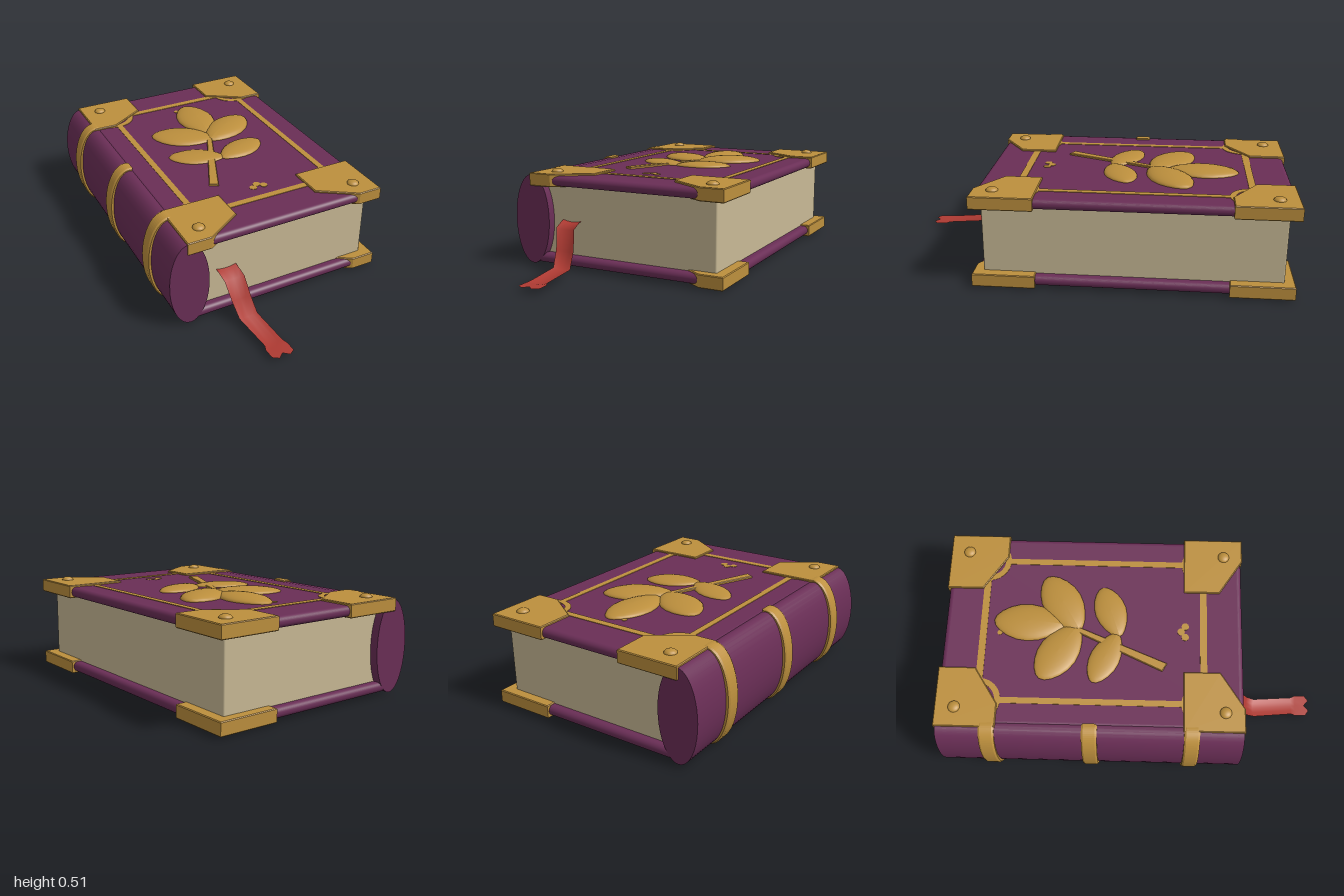
import * as THREE from 'three';
import { RoundedBoxGeometry } from 'three/addons/geometries/RoundedBoxGeometry.js';

const mat = (name, color) => {
  const m = new THREE.MeshStandardMaterial({ color });
  m.name = name;
  return m;
};

export function createModel() {
  const book = new THREE.Group();
  book.name = 'book';
  const purple = mat('purple leather', 0x6a2e56);
  const gold = mat('gold', 0xbc8f3d);
  const paper = mat('paper', 0xc8b995);
  const red = mat('red ribbon', 0xae3a32);
  red.side = THREE.DoubleSide;

  const add = (name, geometry, material, x = 0, y = 0, z = 0) => {
    const mesh = new THREE.Mesh(geometry, material);
    mesh.name = name;
    mesh.position.set(x, y, z);
    book.add(mesh);
    return mesh;
  };
  // Flat shape given as [x, z] points, raised from y = 0 to h
  const slab = (points, h, bevel = 0) => {
    const shape = new THREE.Shape(points.map(([x, z]) => new THREE.Vector2(x, -z)));
    const geo = new THREE.ExtrudeGeometry(shape, {
      depth: h - 2 * bevel, bevelEnabled: bevel > 0, bevelSize: bevel,
      bevelThickness: bevel, bevelOffset: -bevel, bevelSegments: 1,
    });
    return geo.rotateX(-Math.PI / 2).translate(0, bevel, 0);
  };

  const midX = 0.055, midZ = -0.208;

  // Covers and page block
  for (const [name, y] of [['topCover', 0.45], ['bottomCover', 0.045]]) {
    add(name, new RoundedBoxGeometry(1.06, 0.052, 1.566, 4, 0.025), purple, midX, y, midZ);
  }
  add('pageBlock', new RoundedBoxGeometry(0.99, 0.37, 1.48, 2, 0.008), paper, 0.045, 0.247, -0.21);

  // Oval spine with raised bands
  const spine = new THREE.CylinderGeometry(1, 1, 1.566, 40).rotateX(Math.PI / 2).scale(0.104, 0.232, 1);
  add('spine', spine, purple, -0.478, 0.245, midZ);

  const band = new THREE.Shape();
  band.absellipse(0, 0, 0.122, 0.243, Math.PI * 0.44, Math.PI * 1.56, false, 0);
  band.absellipse(0, 0, 0.098, 0.225, Math.PI * 1.56, Math.PI * 0.44, true, 0);
  const bandGeo = new THREE.ExtrudeGeometry(band, {
    depth: 0.06, bevelEnabled: true, bevelSize: 0.006, bevelThickness: 0.01,
    bevelOffset: -0.006, bevelSegments: 1, curveSegments: 24,
  }).translate(0, 0, -0.03);
  for (const z of [-0.73, -0.21, 0.31]) add('spineBand', bandGeo, gold, -0.478, 0.245, z);

  // Corner guards: outer corner at the origin, one inner corner cut off
  const guard = (side) => slab(
    [[0, 0], [0, 0.315], [-0.125, 0.315], [-0.315, 0.19], [-0.315, 0]].map(([x, z]) => [x * side, z]),
    0.067, 0.004);
  const rivetGeo = new THREE.SphereGeometry(0.031, 16, 8, 0, Math.PI * 2, 0, Math.PI / 2).scale(1, 0.6, 1);
  for (const z of [-1, 0.266]) {
    for (const [side, x] of [[1, 0.595], [-1, -0.485]]) {
      add('topCornerGuard', guard(side), gold, x, 0.419, z);
      add('rivet', rivetGeo, gold, x - side * 0.102, 0.485, z < 0 ? -0.9 : 0.48);
    }
    add('bottomCornerGuard', guard(1), gold, 0.595, 0.01, z);
  }

  // Inlaid frame, corner rings and small trefoils on both covers
  const ringShape = new THREE.Shape().absarc(0, 0, 0.115, 0, Math.PI * 2);
  ringShape.holes.push(new THREE.Path().absarc(0, 0, 0.085, 0, Math.PI * 2, true));
  const ringGeo = new THREE.ExtrudeGeometry(ringShape, { depth: 0.006, bevelEnabled: false, curveSegments: 20 })
    .rotateX(Math.PI / 2).translate(0, 0.003, 0);
  const lobeGeo = new THREE.CylinderGeometry(0.02, 0.02, 0.006, 10);
  for (const y of [0.4755, 0.0195]) {
    for (const x of [-0.34, 0.445]) {
      add('frameSide', new THREE.BoxGeometry(0.032, 0.006, 0.95), gold, x, y, midZ);
      for (const z of [-0.785, 0.37]) add('frameRing', ringGeo, gold, x, y, z);
    }
    for (const z of [-0.787, 0.37]) {
      add('frameEnd', new THREE.BoxGeometry(0.57, 0.006, 0.036), gold, midX, y, z);
    }
    for (const [dx, dz] of [[-0.03, 0.012], [0, -0.01], [0.03, 0.012]]) {
      add('trefoilLobe', lobeGeo, gold, midX + dx, y, 0.262 + dz);
    }
    add('frameStud', new THREE.CylinderGeometry(0.014, 0.014, 0.006, 8), gold, 0.03, y, -0.7);
  }

  // Leaf sprig: each leaf runs from base to tip
  const leaf = (x0, z0, x1, z1, width, height) => {
    const geo = new THREE.SphereGeometry(1, 20, 14);
    const p = geo.attributes.position;
    for (let i = 0; i < p.count; i++) {
      const x = p.getX(i);
      p.setZ(i, p.getZ(i) * (1.04 - 0.25 * x * x + 0.08 * x));
    }
    geo.scale(Math.hypot(x1 - x0, z1 - z0) / 2, height, width / 2);
    geo.computeVertexNormals();
    const mesh = add('leaf', geo, gold, (x0 + x1) / 2, 0.477, (z0 + z1) / 2);
    mesh.rotation.y = -Math.atan2(z1 - z0, x1 - x0);
  };
  leaf(0.08, -0.36, 0.1, -0.735, 0.2, 0.03);
  leaf(0.08, -0.29, -0.22, -0.48, 0.2, 0.026);
  leaf(0.05, -0.28, 0.355, -0.47, 0.2, 0.032);
  leaf(0.04, -0.08, -0.235, -0.205, 0.15, 0.02);
  leaf(0.02, -0.07, 0.3, -0.17, 0.16, 0.024);
  add('stem', slab([[-0.168, 0.155], [-0.125, 0.18], [0.085, -0.33], [0.06, -0.34]], 0.016, 0.003), gold, 0, 0.471, 0);

  // Bookmark ribbon: shallow trough swept from the pages to the ground, notched at the end
  const path = [ // x, y, z, halfWidth
    [-0.265, 0.255, 0.5, 0.054], [-0.262, 0.245, 0.55, 0.054], [-0.255, 0.222, 0.605, 0.054],
    [-0.236, 0.12, 0.64, 0.052], [-0.222, 0.04, 0.69, 0.05], [-0.202, 0.03, 0.9, 0.048],
    [-0.2, 0.026, 0.925, 0.058], [-0.198, 0.026, 0.975, 0.058],
  ];
  const verts = [], index = [];
  path.forEach(([x, y, z, w], i) => {
    const last = i === path.length - 1;
    for (let j = -2; j <= 2; j++) {
      const t = j / 2;
      const notch = last ? 0.05 * Math.abs(t) * (Math.abs(t) < 1 ? 1 : 0.1) : 0;
      const dip = i < 6 ? 0.008 * (t * t - 1) : 0;
      verts.push(x + t * w, y + dip, z + notch + (i > 1 && i < 5 ? dip : 0));
    }
    if (last) return;
    for (let j = 0; j < 4; j++) {
      const a = i * 5 + j, b = a + 5;
      index.push(a, b, a + 1, a + 1, b, b + 1);
    }
  });
  const ribbon = new THREE.BufferGeometry();
  ribbon.setAttribute('position', new THREE.Float32BufferAttribute(verts, 3));
  ribbon.setIndex(index);
  ribbon.computeVertexNormals();
  add('ribbon', ribbon, red);

  return book;
}
